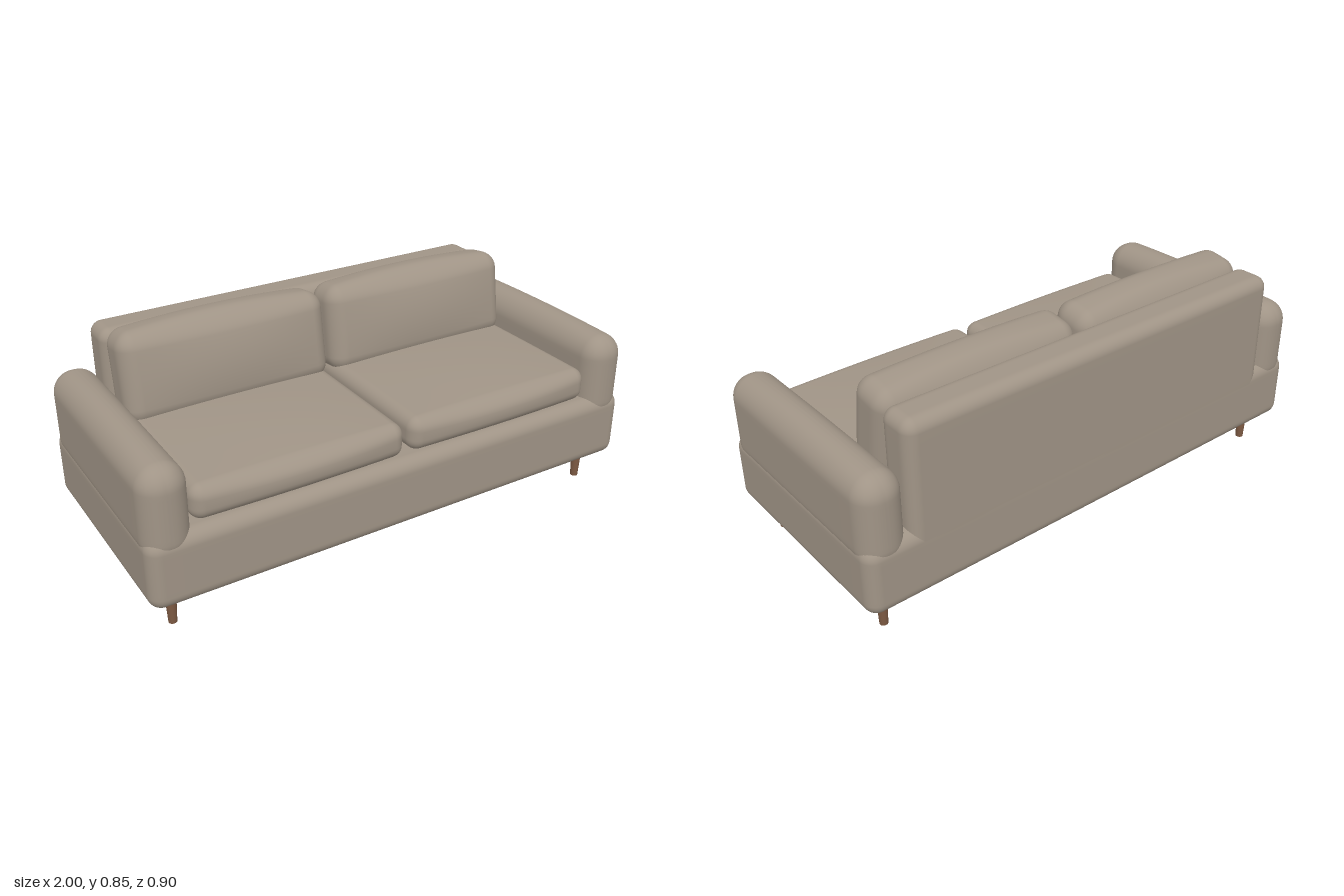
import * as THREE from 'three';
import { mergeVertices } from 'three/addons/utils/BufferGeometryUtils.js';

const fabric = new THREE.MeshStandardMaterial({ color: 0xa09486 });
fabric.name = 'taupe fabric';
const wood = new THREE.MeshStandardMaterial({ color: 0x7d5a43 });
wood.name = 'brown wood';

// Rounded block with size [x, y, z], edge radius r and a soft swelling per axis
function softBlock(size, r, bulge = [0, 0, 0]) {
  const n = 20, edge = 5;
  let geo = new THREE.BoxGeometry(2, 2, 2, n, n, n);
  geo.deleteAttribute('uv');
  geo.deleteAttribute('normal');
  geo = mergeVertices(geo);
  const half = size.map((s) => s / 2);
  const pos = geo.attributes.position;
  const p = new THREE.Vector3(), core = new THREE.Vector3();
  for (let i = 0; i < pos.count; i++) {
    // crowd the grid lines into the rounded edges
    for (let a = 0; a < 3; a++) {
      const t = pos.getComponent(i, a), steps = Math.abs(t) * n / 2;
      const flat = n / 2 - edge, inner = half[a] - r;
      core.setComponent(a, Math.sign(t) * inner * Math.min(steps / flat, 1));
      const over = Math.max(steps - flat, 0) / edge;
      p.setComponent(a, Math.sign(t) * Math.tan(over * Math.PI / 4));
    }
    p.normalize().multiplyScalar(r).add(core);
    const u = p.toArray().map((v, a) => v / half[a]);
    for (let a = 0; a < 3; a++) {
      const b = (a + 1) % 3, c = (a + 2) % 3;
      const swell = bulge[a] * u[a] * (1 - u[b] ** 2) * (1 - u[c] ** 2);
      pos.setComponent(i, a, p.getComponent(a) + swell);
    }
  }
  geo.computeVertexNormals();
  return geo;
}

export function createModel() {
  const sofa = new THREE.Group();
  sofa.name = 'sofa';
  const add = (name, geo, mat, x, y, z) => {
    const mesh = new THREE.Mesh(geo, mat);
    mesh.name = name;
    mesh.position.set(x, y, z);
    sofa.add(mesh);
    return mesh;
  };

  // Frame
  add('base', softBlock([2, 0.27, 0.9], 0.05), fabric, 0, 0.265, 0);
  add('backrest', softBlock([1.66, 0.5, 0.155], 0.045), fabric, 0, 0.55, -0.3725);

  const arm = softBlock([0.17, 0.34, 0.9], 0.078, [0, 0.013, 0]);
  const seat = softBlock([0.815, 0.13, 0.72], 0.045, [0, 0.018, 0.022]);
  const cushion = softBlock([0.815, 0.336, 0.18], 0.06, [0, 0.022, 0.026]);
  const leg = new THREE.CylinderGeometry(0.022, 0.015, 0.16, 20);

  for (const [side, s] of [['left', 1], ['right', -1]]) {
    add(side + 'Arm', arm, fabric, s * 0.915, 0.472, 0);
    add(side + 'SeatCushion', seat, fabric, s * 0.42, 0.467, 0.06);
    // Back cushions lean against the backrest
    add(side + 'BackCushion', cushion, fabric, s * 0.418, 0.66, -0.2).rotation.x = -0.15;
    for (const [end, z] of [['Front', 0.342], ['Back', -0.342]]) {
      add(side + end + 'Leg', leg, wood, s * 0.9, 0.08, z);
    }
  }
  return sofa;
}
